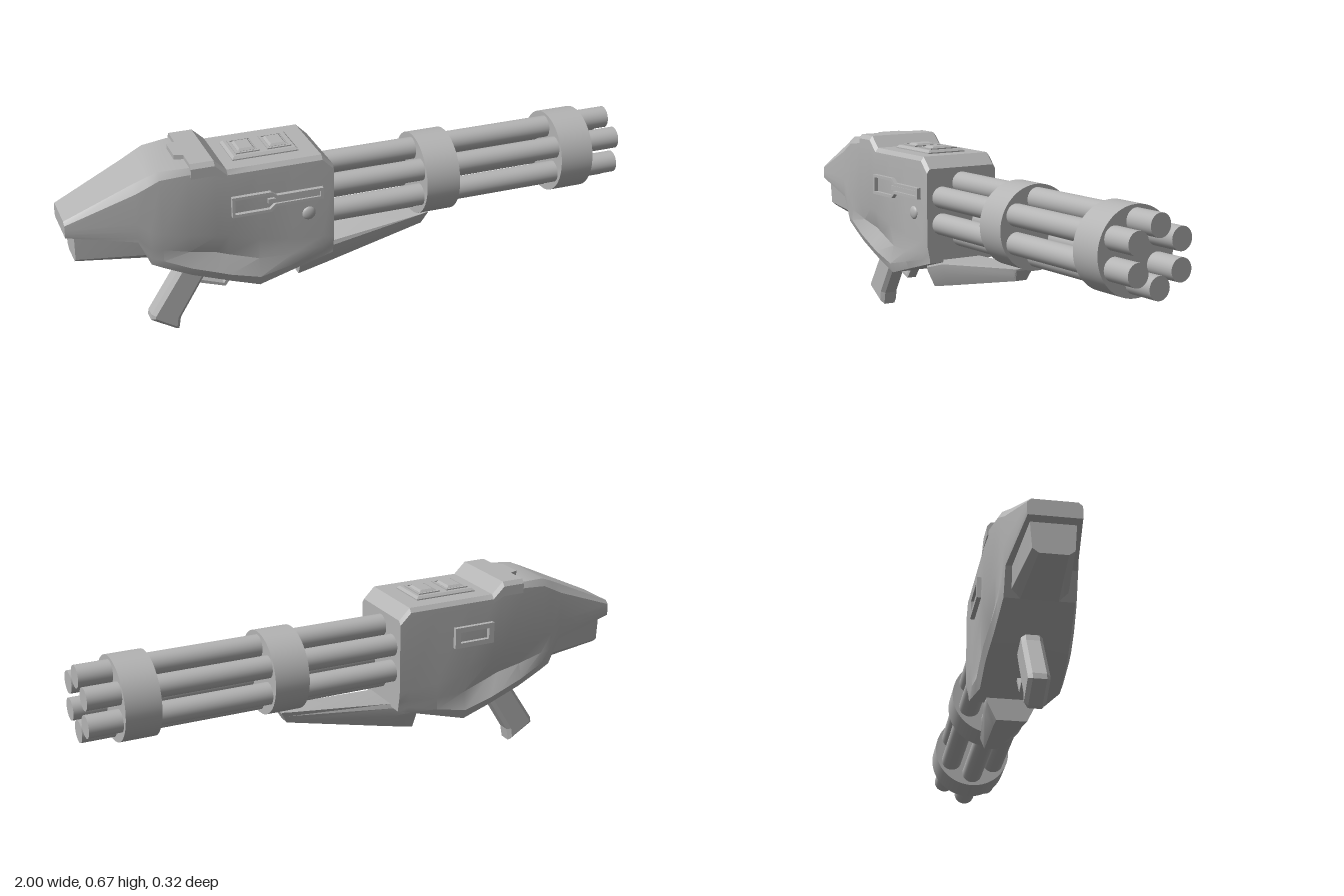
import * as THREE from 'three';
import { toCreasedNormals } from 'three/addons/utils/BufferGeometryUtils.js';

// Skin mirrored cross-sections along x. Each section: [x, [[y, halfWidth], ...bottom to top]]
function loft(sections, crease = 0.45) {
  const pos = [];
  const quad = (a, b, c, d) => pos.push(...a, ...b, ...c, ...a, ...c, ...d);
  const loops = sections.map(([x, rows]) => [
    ...rows.map(([y, w]) => [x, y, w]),
    ...rows.slice().reverse().map(([y, w]) => [x, y, -w]),
  ]);
  const n = loops[0].length;
  for (let i = 0; i < loops.length - 1; i++) {
    for (let j = 0; j < n; j++) {
      const k = (j + 1) % n;
      quad(loops[i][j], loops[i + 1][j], loops[i + 1][k], loops[i][k]);
    }
  }
  const first = loops[0], last = loops[loops.length - 1];
  for (let j = 0; j < n / 2 - 1; j++) {
    quad(first[j], first[j + 1], first[n - 2 - j], first[n - 1 - j]);
    quad(last[n - 1 - j], last[n - 2 - j], last[j + 1], last[j]);
  }
  const g = new THREE.BufferGeometry();
  g.setAttribute('position', new THREE.Float32BufferAttribute(pos, 3));
  return toCreasedNormals(g, crease);
}

// Side outline in x, y extruded symmetrically about z = 0, with optional bevel
function slab(points, half, bevel = 0, hole = null) {
  const shape = new THREE.Shape(points.map(([x, y]) => new THREE.Vector2(x, y)));
  if (hole) shape.holes.push(new THREE.Path(hole.map(([x, y]) => new THREE.Vector2(x, y))));
  const depth = 2 * (half - bevel);
  const g = new THREE.ExtrudeGeometry(shape, {
    depth, bevelEnabled: bevel > 0, bevelSize: bevel, bevelOffset: -bevel,
    bevelThickness: bevel, bevelSegments: 1,
  });
  return g.translate(0, 0, -depth / 2);
}

const rect = (x0, x1, y0, y1) => [[x0, y0], [x1, y0], [x1, y1], [x0, y1]];

export function createModel() {
  const model = new THREE.Group();
  const metal = new THREE.MeshStandardMaterial({ color: 0xb4b4b4 });
  metal.name = 'grey metal';
  const add = (name, geometry, x = 0, y = 0, z = 0) => {
    const mesh = new THREE.Mesh(geometry, metal);
    mesh.name = name;
    mesh.position.set(x, y, z);
    model.add(mesh);
    return mesh;
  };

  // Housing and tapered stock; rows are bottom, lip, hollow, crest, shoulder, top
  add('housing', loft([
    [-1.0, [[0.455, 0.083], [0.463, 0.085], [0.472, 0.085], [0.482, 0.085], [0.498, 0.084], [0.51, 0.072]]],
    [-0.77, [[0.41, 0.112], [0.425, 0.114], [0.45, 0.116], [0.48, 0.118], [0.585, 0.115], [0.615, 0.095]]],
    [-0.73, [[0.32, 0.112], [0.345, 0.118], [0.38, 0.12], [0.44, 0.124], [0.605, 0.121], [0.633, 0.102]]],
    [-0.69, [[0.30, 0.115], [0.33, 0.124], [0.37, 0.12], [0.43, 0.13], [0.625, 0.125], [0.65, 0.11]]],
    [-0.60, [[0.26, 0.122], [0.29, 0.134], [0.345, 0.118], [0.415, 0.138], [0.635, 0.138], [0.655, 0.126]]],
    [-0.51, [[0.23, 0.129], [0.26, 0.142], [0.325, 0.115], [0.40, 0.142], [0.635, 0.142], [0.655, 0.131]]],
    [-0.47, [[0.216, 0.131], [0.245, 0.143], [0.31, 0.116], [0.395, 0.143], [0.615, 0.143], [0.63, 0.131]]],
    [-0.365, [[0.18, 0.131], [0.215, 0.143], [0.28, 0.128], [0.36, 0.143], [0.615, 0.143], [0.63, 0.131]]],
    [-0.25, [[0.213, 0.131], [0.24, 0.142], [0.28, 0.14], [0.34, 0.143], [0.615, 0.143], [0.63, 0.131]]],
    [-0.14, [[0.244, 0.131], [0.265, 0.135], [0.29, 0.139], [0.33, 0.143], [0.615, 0.143], [0.63, 0.131]]],
    [-0.10, [[0.255, 0.131], [0.27, 0.132], [0.29, 0.136], [0.32, 0.142], [0.575, 0.142], [0.59, 0.131]]],
  ]));
  add('stockUnderside', loft([
    [-0.97, [[0.345, 0.045], [0.36, 0.065], [0.46, 0.072]]],
    [-0.73, [[0.32, 0.06], [0.345, 0.09], [0.45, 0.1]]],
    [-0.68, [[0.315, 0.06], [0.345, 0.09], [0.45, 0.1]]],
  ]));

  // Raised saddle across the top, with a central tongue toward the back
  add('topSaddle', loft([
    [-0.59, [[0.62, 0.143], [0.655, 0.143], [0.67, 0.131]]],
    [-0.51, [[0.62, 0.143], [0.655, 0.143], [0.67, 0.131]]],
    [-0.468, [[0.60, 0.143], [0.615, 0.143], [0.63, 0.131]]],
  ]));
  add('saddleTongue', loft([
    [-0.62, [[0.64, 0.045], [0.67, 0.045]]],
    [-0.58, [[0.64, 0.06], [0.67, 0.06]]],
  ]));

  // Top control plate with two square buttons
  const pad = (sx, sz, h, bevel) => {
    const s = rect(-sx, sx, -sz, sz);
    return slab(s, h, bevel).rotateX(-Math.PI / 2);
  };
  add('controlPlate', pad(0.115, 0.075, 0.012, 0.008), -0.315, 0.63, 0);
  for (const x of [-0.37, -0.26]) {
    add('controlButtonRim', slab(rect(-0.042, 0.042, -0.055, 0.055), 0.003, 0,
      rect(-0.034, 0.034, -0.046, 0.046).reverse()).rotateX(-Math.PI / 2), x, 0.643, 0);
    add('controlButton', pad(0.03, 0.04, 0.009, 0.007), x, 0.642, 0);
  }

  // Stepped slot on the front side, plain window frame on the back side
  add('sideSlotFrame', slab(
    [[-0.46, 0.463], [-0.325, 0.463], [-0.305, 0.48], [-0.142, 0.48], [-0.142, 0.52], [-0.305, 0.52], [-0.325, 0.535], [-0.46, 0.535]],
    0.01, 0,
    [[-0.45, 0.525], [-0.33, 0.525], [-0.31, 0.51], [-0.152, 0.51], [-0.152, 0.49], [-0.31, 0.49], [-0.33, 0.473], [-0.45, 0.473]],
  ), 0, 0, 0.148);
  add('sideSlotBolt', new THREE.BoxGeometry(0.18, 0.016, 0.016), -0.245, 0.5, 0.146);
  add('sideWindowFrame', slab(rect(-0.465, -0.31, 0.46, 0.535), 0.01, 0,
    rect(-0.445, -0.33, 0.478, 0.517).reverse()), 0, 0, -0.148);
  const button = add('sideButton', new THREE.SphereGeometry(0.024, 24, 12), -0.19, 0.427, 0.142);
  button.scale.z = 0.45;

  // Six barrels and two clamping drums
  const tube = (r, x0, x1, seg) =>
    new THREE.CylinderGeometry(r, r, x1 - x0, seg).rotateZ(-Math.PI / 2).translate((x0 + x1) / 2, 0, 0);
  for (let i = 0; i < 6; i++) {
    const a = Math.PI / 2 + i * Math.PI / 3;
    add('barrel', tube(0.0385, -0.12, 1, 32), 0, 0.44 + 0.095 * Math.sin(a), 0.095 * Math.cos(a));
  }
  for (const [x0, x1] of [[0.243, 0.366], [0.762, 0.885]]) {
    add('barrelClamp', tube(0.145, x0, x1, 64), 0, 0.439, 0);
  }

  // Wedge-shaped fore guard under the barrels
  add('foreGuard', loft([
    [-0.2, [[0.148, 0.052], [0.205, 0.08], [0.22, 0.085], [0.235, 0.083]]],
    [-0.1, [[0.168, 0.047], [0.215, 0.075], [0.248, 0.08], [0.264, 0.075]]],
    [0.275, [[0.245, 0.022], [0.255, 0.027], [0.272, 0.033], [0.288, 0.038]]],
    [0.297, [[0.284, 0.03], [0.286, 0.032], [0.288, 0.034], [0.29, 0.035]]],
  ]));

  // Pistol grip, trigger and guard
  add('grip', slab([[-0.6, 0.28], [-0.5, 0.25], [-0.525, 0.2], [-0.62, 0.045], [-0.628, 0], [-0.64, 0.004],
    [-0.725, 0.055], [-0.722, 0.075], [-0.615, 0.24]], 0.035, 0.013));
  add('triggerGuard', slab([[-0.56, 0.168], [-0.455, 0.132], [-0.405, 0.2], [-0.415, 0.21], [-0.46, 0.144], [-0.555, 0.178]], 0.018));
  add('trigger', slab([[-0.505, 0.24], [-0.505, 0.2], [-0.495, 0.175], [-0.478, 0.162], [-0.488, 0.185], [-0.488, 0.205], [-0.475, 0.24]], 0.01));

  return model;
}
